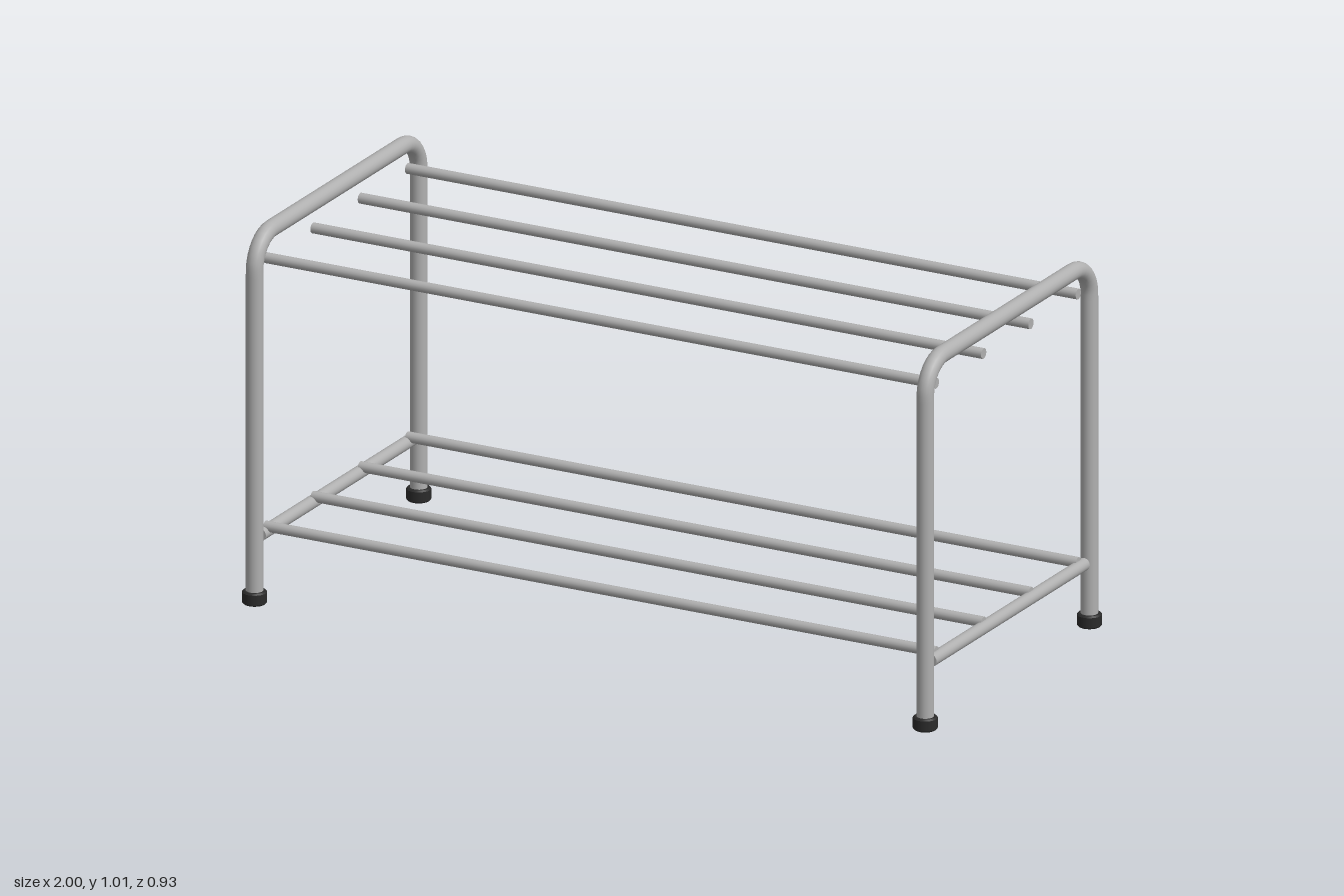
import * as THREE from 'three';

const LEG_X = 0.968, LEG_Z = 0.434, TOP_Y = 0.983, BEND = 0.088;

// Centre line of one end hoop: up, over and down, with rounded corners
function hoopPath() {
  const v = (y, z) => new THREE.Vector3(0, y, z);
  const path = new THREE.CurvePath();
  const k = BEND * 0.4477; // cubic handle offset for a quarter circle
  const zi = LEG_Z - BEND, yi = TOP_Y - BEND;
  path.add(new THREE.LineCurve3(v(0.01, LEG_Z), v(yi, LEG_Z)));
  path.add(new THREE.CubicBezierCurve3(v(yi, LEG_Z), v(TOP_Y - k, LEG_Z), v(TOP_Y, LEG_Z - k), v(TOP_Y, zi)));
  path.add(new THREE.LineCurve3(v(TOP_Y, zi), v(TOP_Y, -zi)));
  path.add(new THREE.CubicBezierCurve3(v(TOP_Y, -zi), v(TOP_Y, k - LEG_Z), v(TOP_Y - k, -LEG_Z), v(yi, -LEG_Z)));
  path.add(new THREE.LineCurve3(v(yi, -LEG_Z), v(0.01, -LEG_Z)));
  return path;
}

export function createModel() {
  const steel = new THREE.MeshStandardMaterial({ color: 0xb0b0b0 });
  steel.name = 'steel';
  const rubber = new THREE.MeshStandardMaterial({ color: 0x2a2a2a });
  rubber.name = 'blackRubber';

  const model = new THREE.Group();
  model.name = 'shoeRack';
  const add = (name, geometry, material, x, y, z) => {
    const mesh = new THREE.Mesh(geometry, material);
    mesh.name = name;
    mesh.position.set(x, y, z);
    model.add(mesh);
  };

  const hoop = new THREE.TubeGeometry(hoopPath(), 160, 0.0225, 20, false);
  const crossbar = new THREE.CylinderGeometry(0.017, 0.017, 0.81, 20).rotateX(Math.PI / 2);
  const rod = new THREE.CylinderGeometry(0.014, 0.014, 2 * LEG_X, 16).rotateZ(Math.PI / 2);

  // Foot cap with small chamfers; doubled points keep the edges crisp
  const footProfile = [
    [0, 0], [0.028, 0], [0.028, 0], [0.032, 0.004], [0.032, 0.004],
    [0.032, 0.031], [0.032, 0.031], [0.028, 0.035], [0.028, 0.035], [0, 0.035],
  ].map(([r, y]) => new THREE.Vector2(r, y));
  const foot = new THREE.LatheGeometry(footProfile, 24);

  // End frames
  for (const [side, x] of [['left', LEG_X], ['right', -LEG_X]]) {
    add(side + 'Hoop', hoop, steel, x, 0, 0);
    add(side + 'Crossbar', crossbar, steel, x, 0.175, 0);
    add(side + 'FrontFoot', foot, rubber, x, 0, LEG_Z);
    add(side + 'BackFoot', foot, rubber, x, 0, -LEG_Z);
  }

  // Shelf rods
  for (const [shelf, y] of [['upper', 0.913], ['lower', 0.189]]) {
    for (let i = 0; i < 4; i++) add(shelf + 'Rod' + (i + 1), rod, steel, 0, y, 0.375 - 0.25 * i);
  }
  return model;
}
